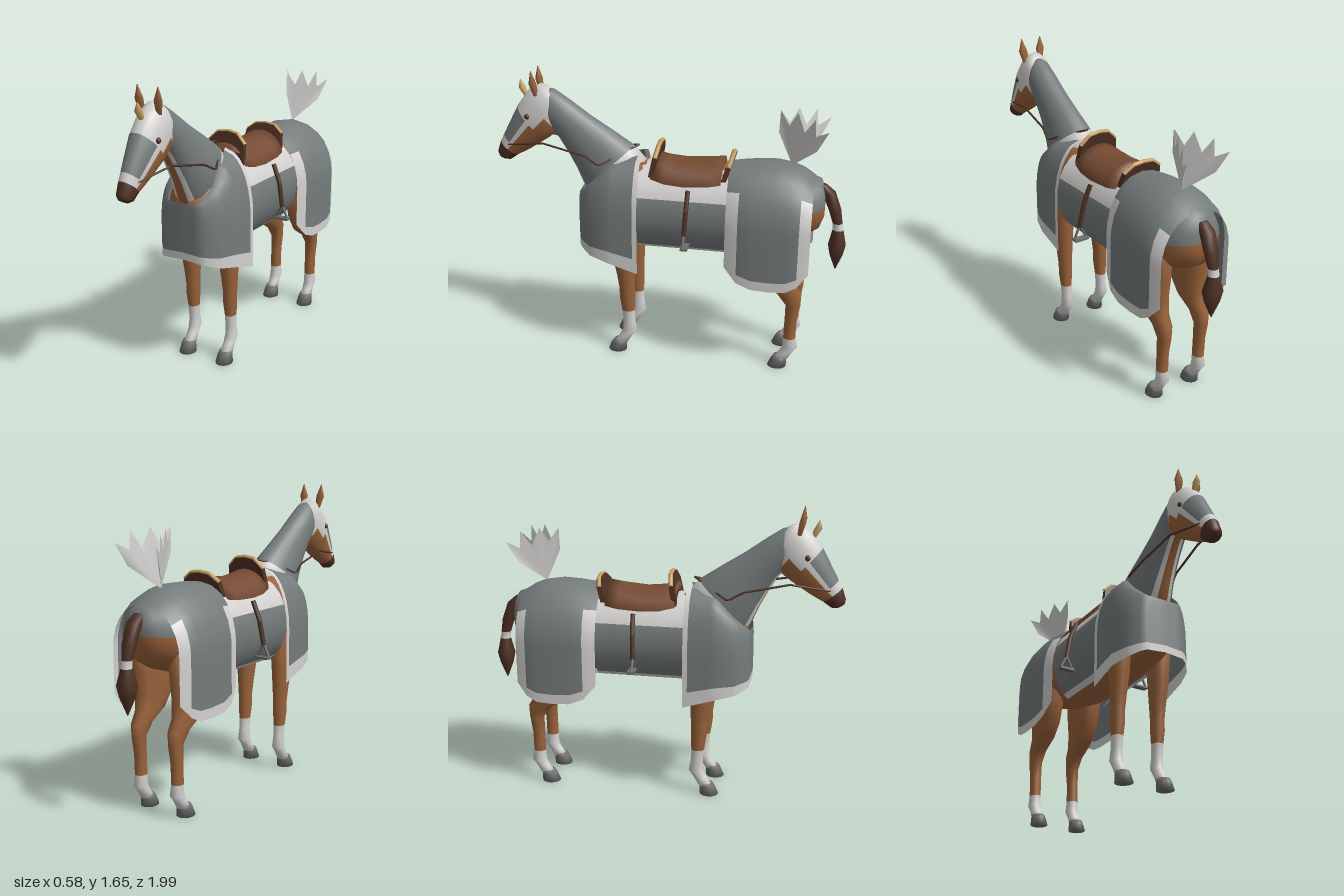
import * as THREE from 'three';

const mat = (name, color) => Object.assign(
  new THREE.MeshStandardMaterial({ color, side: THREE.DoubleSide }), { name });
const coat = mat('chestnutCoat', 0x99623a), steel = mat('steelGrey', 0x757b7b);
const pale = mat('paleTrim', 0xd2d1cf), leather = mat('saddleLeather', 0x754a32);
const dark = mat('darkHair', 0x4e3024), gold = mat('gold', 0xc9a262), horn = mat('hoofGrey', 0x6b6c6a);

// Mesh from points and a list of [material, corner, corner, ...] faces
function build(name, pts, faces) {
  const g = new THREE.BufferGeometry(), index = [], mats = [...new Set(faces.map(f => f[0]))];
  mats.forEach((m, k) => {
    const start = index.length;
    for (const [fm, a, b, c, d] of faces) {
      if (fm !== m) continue;
      index.push(a, b, c);
      if (d !== undefined) index.push(a, c, d);
    }
    g.addGroup(start, index.length - start, k);
  });
  g.setAttribute('position', new THREE.Float32BufferAttribute(pts.flat(), 3));
  g.setIndex(index);
  g.computeVertexNormals();
  const mesh = new THREE.Mesh(g, mats);
  mesh.name = name;
  return mesh;
}

// Skin over elliptical rings [y, z, rx, r2, tiltDegrees, x]; pick(ring, sine) gives the material
function loft(name, rings, pick, n = 24, tilt = 90, x0 = 0) {
  const pts = [], faces = [], R = rings.length;
  const at = typeof pick === 'function' ? pick : () => pick;
  rings.forEach(([y, z, rx, r2, t = tilt, x = x0]) => {
    const a = t * Math.PI / 180;
    for (let j = 0; j < n; j++) {
      const q = j / n * Math.PI * 2, s = Math.sin(q) * r2;
      pts.push([x + Math.cos(q) * rx, y + Math.cos(a) * s, z + Math.sin(a) * s]);
    }
  });
  for (const k of [0, R - 1]) pts.push([rings[k][5] ?? x0, rings[k][0], rings[k][1]]);
  for (let j = 0; j < n; j++) {
    const k = (j + 1) % n, sine = Math.sin((j + 0.5) / n * Math.PI * 2);
    for (let i = 0; i < R - 1; i++)
      faces.push([at(i, sine), i * n + j, i * n + k, (i + 1) * n + k, (i + 1) * n + j]);
    faces.push([at(0, sine), R * n, k, j]);
    faces.push([at(R - 2, sine), R * n + 1, (R - 1) * n + j, (R - 1) * n + k]);
  }
  return build(name, pts, faces);
}

// Open cloth or plate surface f(u, v) on given grid lines
function sheet(name, f, us, vs, pick) {
  const pts = [], faces = [], n = vs.length;
  us.forEach(u => vs.forEach(v => pts.push(f(u, v))));
  for (let i = 0; i < us.length - 1; i++) for (let j = 0; j < n - 1; j++)
    faces.push([pick((us[i] + us[i + 1]) / 2, (vs[j] + vs[j + 1]) / 2),
      i * n + j, (i + 1) * n + j, (i + 1) * n + j + 1, i * n + j + 1]);
  return build(name, pts, faces);
}

const range = (a, b, n) => Array.from({ length: n + 1 }, (_, i) => a + (b - a) * i / n);
// Row-wise linear lookup: rows are [key, value, value, ...] with rising keys
function lookup(rows, k) {
  let i = 0;
  while (i < rows.length - 2 && k > rows[i + 1][0]) i++;
  const a = rows[i], b = rows[i + 1], t = (k - a[0]) / (b[0] - a[0]);
  return a.slice(1).map((v, c) => v + (b[c + 1] - v) * t);
}

function rods(name, material, points, r) {
  const path = new THREE.CurvePath(), p = points.map(q => new THREE.Vector3(...q));
  for (let i = 1; i < p.length; i++) path.add(new THREE.LineCurve3(p[i - 1], p[i]));
  const m = new THREE.Mesh(new THREE.TubeGeometry(path, (p.length - 1) * 6, r, 6), material);
  m.name = name;
  return m;
}

export function createModel() {
  const horse = new THREE.Group();
  horse.name = 'armouredHorse';
  const add = (...m) => horse.add(...m);

  // Trunk, with the plated rump
  add(loft('body', [
    [0.98, -0.87, 0.06, 0.07], [0.98, -0.845, 0.12, 0.14], [0.97, -0.76, 0.175, 0.18],
    [0.95, -0.55, 0.2, 0.23], [0.92, -0.35, 0.2, 0.245], [0.9, -0.1, 0.2, 0.24],
    [0.91, 0.1, 0.195, 0.245], [0.93, 0.25, 0.185, 0.265], [0.91, 0.4, 0.15, 0.2],
    [0.9, 0.47, 0.08, 0.12]], (i, s) => i < 3 && s > 0 ? steel : coat, 28, 0));

  // Neck with its plates open along the throat
  add(loft('neck', [
    [1.0, 0.25, 0.12, 0.2, -50], [1.12, 0.345, 0.12, 0.188, -50], [1.21, 0.43, 0.1, 0.153, -40],
    [1.29, 0.51, 0.088, 0.127, -30], [1.37, 0.59, 0.082, 0.115, -15], [1.42, 0.65, 0.078, 0.118, -2],
    [1.435, 0.7, 0.07, 0.12, 10]],
  (i, s) => s < -0.95 ? coat : s < -0.88 || (i === 0 && s > 0) ? pale : steel));

  // Head with face plate and dark muzzle
  add(loft('head', [
    [1.49, 0.64, 0.05, 0.07, 31], [1.475, 0.665, 0.075, 0.11, 31], [1.42, 0.707, 0.086, 0.14, 36],
    [1.348, 0.775, 0.085, 0.125, 43], [1.247, 0.865, 0.064, 0.09, 46], [1.215, 0.895, 0.056, 0.077, 48],
    [1.185, 0.925, 0.05, 0.064, 50], [1.138, 0.957, 0.044, 0.046, 58], [1.125, 0.97, 0.024, 0.026, 58]],
  (i, s) => {
    if (i > 5) return dark;
    if (i < 2) return pale;
    if (s < (i === 2 ? -0.3 : 0)) return coat;
    return (i === 3 || i === 4) && s > 0.3 ? steel : pale;
  }));
  add(loft('browSpike', [[1.585, 0.838, 0.002, 0.002], [1.54, 0.83, 0.021, 0.021],
    [1.48, 0.8, 0.012, 0.012]], gold, 8));

  for (const s of [1, -1]) {
    add(loft('ear', [[1.65, 0.755, 0.002, 0.002, 90, s * 0.062], [1.58, 0.75, 0.027, 0.02, 90, s * 0.058],
      [1.51, 0.735, 0.016, 0.014, 90, s * 0.05]], coat, 6));
    const eye = new THREE.Mesh(new THREE.SphereGeometry(0.016, 10, 8), dark);
    eye.name = 'eye';
    eye.position.set(s * 0.077, 1.395, 0.785);
    add(eye);

    // Legs: coloured upper, pale sock, hoof
    add(loft('frontLeg', [
      [0.85, 0.24, 0.06, 0.1], [0.62, 0.237, 0.055, 0.068], [0.5, 0.227, 0.045, 0.053],
      [0.41, 0.222, 0.038, 0.045], [0.35, 0.222, 0.039, 0.044], [0.27, 0.217, 0.032, 0.037],
      [0.2, 0.212, 0.03, 0.035], [0.14, 0.208, 0.034, 0.042], [0.1, 0.232, 0.031, 0.038],
      [0.05, 0.265, 0.035, 0.04]], i => i < 5 ? coat : pale, 14, 90, s * 0.125));
    add(loft('hindLeg', [
      [0.95, -0.6, 0.08, 0.16], [0.75, -0.6, 0.08, 0.15], [0.62, -0.61, 0.072, 0.125],
      [0.53, -0.645, 0.058, 0.1], [0.47, -0.71, 0.045, 0.07], [0.4, -0.735, 0.037, 0.042],
      [0.3, -0.727, 0.032, 0.035], [0.19, -0.725, 0.032, 0.035], [0.13, -0.73, 0.035, 0.042],
      [0.09, -0.705, 0.031, 0.038], [0.05, -0.68, 0.035, 0.04]],
    i => i < 7 ? coat : pale, 14, 90, s * 0.125));
    for (const z of [0.285, -0.66])
      add(loft('hoof', [[0.065, z - 0.016, 0.037, 0.038], [0.045, z - 0.01, 0.041, 0.045],
        [0, z, 0.048, 0.054]], horn, 12, 90, s * 0.125));

    // Stirrup
    add(rods('stirrupLeather', dark, [[s * 0.185, 1.07, -0.14], [s * 0.225, 0.97, -0.137], [s * 0.25, 0.83, -0.13]], 0.013));
    add(rods('stirrupIron', horn, [[s * 0.25, 0.84, -0.13], [s * 0.21, 0.765, -0.13],
      [s * 0.285, 0.765, -0.13], [s * 0.25, 0.84, -0.13]], 0.007));
    const tread = new THREE.Mesh(new THREE.BoxGeometry(0.085, 0.012, 0.04), horn);
    tread.name = 'stirrupTread';
    tread.position.set(s * 0.247, 0.762, -0.135);
    add(tread);

    // Rein
    add(rods('rein', dark, [[s * 0.05, 1.215, 0.915], [s * 0.09, 1.25, 0.7], [s * 0.115, 1.2, 0.45],
      [s * 0.135, 1.155, 0.37], [s * 0.07, 1.215, 0.25], [0, 1.248, 0.17]], 0.006));

    // Rump plume: one swept-back leaf on each side
    const tips = [[-0.6, 1.37], [-0.605, 1.495], [-0.655, 1.42], [-0.7, 1.5], [-0.74, 1.4],
      [-0.795, 1.485], [-0.8, 1.39], [-0.87, 1.43], [-0.81, 1.31]];
    add(build('plume', [[0, 1.19, -0.68], ...tips.map(([z, y]) => [s * 0.5 * (-0.6 - z), y, z])],
      range(1, 8, 7).map(i => s > 0 ? [pale, 0, i + 1, i] : [pale, 0, i, i + 1])));
  }

  // Tail, wrapped and tufted
  add(loft('tail', [
    [1.09, -0.85, 0.025, 0.025], [1.05, -0.885, 0.042, 0.038], [0.95, -0.925, 0.04, 0.035],
    [0.87, -0.945, 0.028, 0.028], [0.83, -0.95, 0.03, 0.03], [0.74, -0.95, 0.058, 0.05],
    [0.68, -0.95, 0.043, 0.037], [0.59, -0.95, 0.003, 0.003]], i => i === 3 ? pale : dark, 10));

  // Chest skirt: u runs rear right - front - rear left, v from top to hem
  const chestRows = [ // |u|, top x y z, hem x y z
    [0, 0, 0.98, 0.5, 0, 0.67, 0.5], [0.25, 0.1, 0.985, 0.49, 0.125, 0.66, 0.495],
    [0.45, 0.13, 1.07, 0.4, 0.19, 0.63, 0.42], [0.6, 0.11, 1.16, 0.31, 0.22, 0.61, 0.32],
    [1, 0.04, 1.21, 0.14, 0.222, 0.555, 0.14]];
  add(sheet('chestSkirt', (u, v) => {
    const [xt, yt, zt, xb, yb, zb] = lookup(chestRows, Math.abs(u));
    const w = Math.min(1, v * 1.9), q = Math.sqrt(1 - (1 - w) ** 2);
    return [Math.sign(u) * (xt + (xb - xt) * q), yt + (yb - yt) * v, zt + (zb - zt) * q];
  }, [-1, -0.94, ...range(-0.9, 0.9, 24), 0.94, 1], [0, 0.03, 0.07, 0.13, 0.2, 0.3, 0.42, 0.53, 0.7, 0.87, 1],
  (u, v) => v > 0.87 || Math.abs(u) > 0.94 ? pale : steel));

  // Rump skirt: arches along z, v from hem over the back to hem
  const rumpRows = [ // -z, top, half width, hem
    [0.35, 1.185, 0.225, 0.65], [0.42, 1.195, 0.248, 0.57], [0.5, 1.205, 0.255, 0.54],
    [0.6, 1.21, 0.255, 0.535], [0.69, 1.195, 0.254, 0.54], [0.75, 1.17, 0.245, 0.57], [0.81, 1.13, 0.22, 0.64]];
  const half = [0, 0.1, 0.2, 0.28, 0.36, 0.44, 0.5, 0.6, 0.75, 0.92, 1];
  add(sheet('rumpSkirt', (u, v) => {
    const [top, w, hem] = lookup(rumpRows, u), a = Math.abs(v), h = 0.88;
    const q = Math.min(1, a * 2) * Math.PI / 2;
    return [Math.sign(v) * w * Math.sin(q),
      a < 0.5 ? h + (top - h) * Math.cos(q) : h + (hem - h) * (a - 0.5) * 2, -u];
  }, rumpRows.map(r => r[0]), [...half.slice(1).reverse().map(a => -a), ...half],
  (u, v) => {
    const a = Math.abs(v);
    return a > 0.92 || (a > 0.28 && (u < 0.42 || u > 0.75)) ? pale : steel;
  }));

  // Saddle blanket and flank plates in one wrap, open under the belly
  const side = [0, 17, 34, 50, 66, 80, 95, 110, 125, 139, 148];
  add(sheet('flankCover', (z, deg) => {
    const a = deg * Math.PI / 180;
    return [0.216 * Math.sin(a), 0.905 + 0.256 * Math.cos(a), z];
  }, range(-0.36, 0.15, 4), [...side.slice(1).reverse().map(a => -a), ...side],
  (z, deg) => Math.abs(deg) < 66 || Math.abs(deg) > 139 ? pale : steel));

  // Saddle seat with raised arches front and back
  add(loft('saddleSeat', [[1.07, -0.31, 0.145, 0.14], [1.07, -0.24, 0.155, 0.128], [1.07, -0.1, 0.16, 0.115],
    [1.07, 0.0, 0.155, 0.125], [1.07, 0.08, 0.14, 0.148]], leather, 24, 0));
  for (const [name, z, h, lean] of [['pommel', 0.08, 0.18, -0.2], ['cantle', -0.32, 0.145, -0.3]]) {
    const arch = new THREE.Group();
    arch.name = name;
    const edge = [[-0.13, 0], [-0.115, h * 0.65], [-0.06, h * 0.95], [0, h],
      [0.06, h * 0.95], [0.115, h * 0.65], [0.13, 0]];
    const shape = new THREE.Shape(edge.map(p => new THREE.Vector2(...p)));
    const plate = new THREE.Mesh(new THREE.ExtrudeGeometry(shape, { depth: 0.028, bevelEnabled: false }), dark);
    plate.name = name + 'Plate';
    plate.position.z = -0.014;
    arch.add(plate, rods(name + 'Rim', gold, edge.slice(1, 6).map(([x, y]) => [x, y, 0]), 0.012));
    arch.position.set(0, 1.1, z);
    arch.rotation.x = lean;
    add(arch);
  }
  return horse;
}
